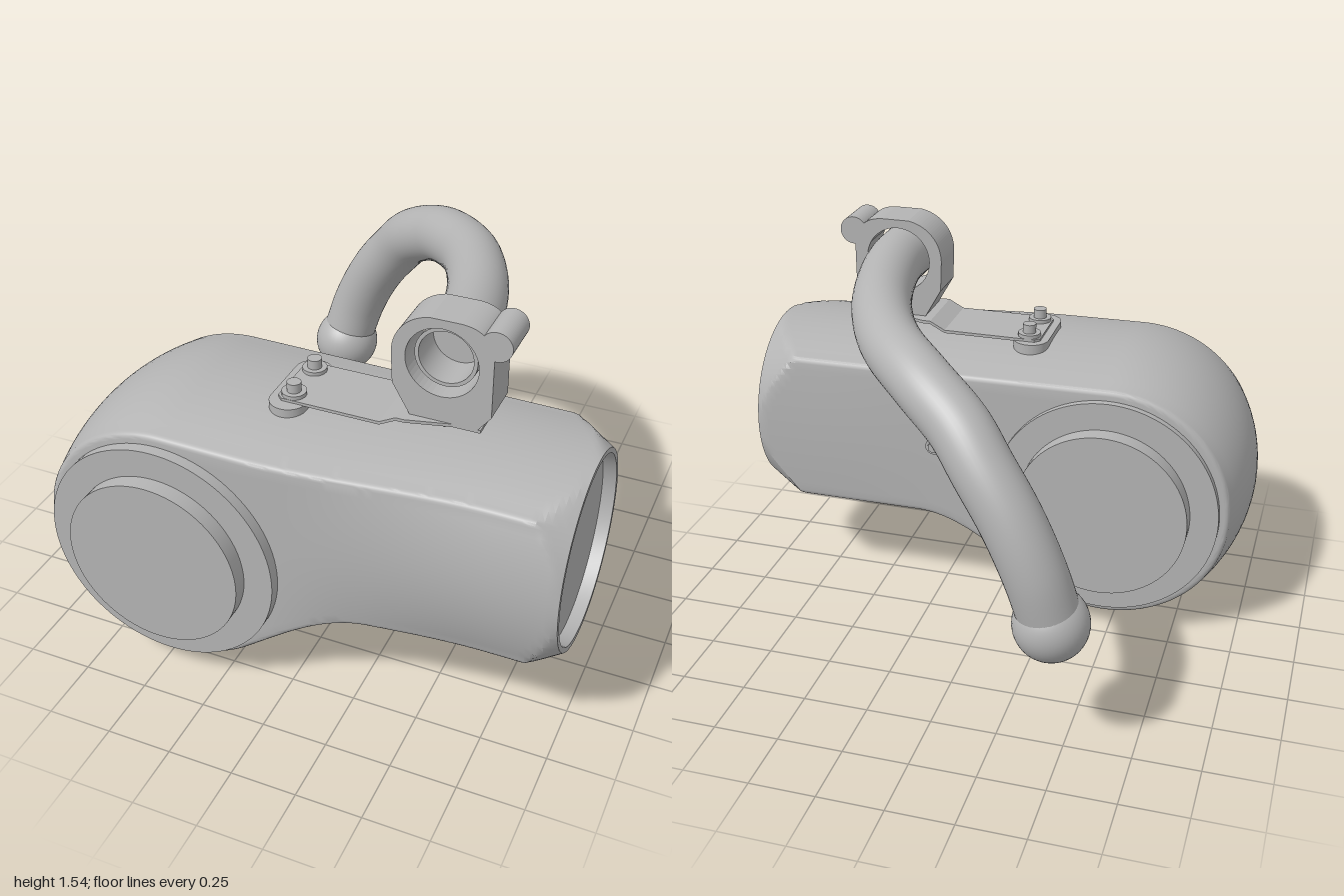
import * as THREE from 'three';
import { toCreasedNormals } from 'three/addons/utils/BufferGeometryUtils.js';

const grey = new THREE.MeshStandardMaterial({ color: 0xb4b4b4 });
grey.name = 'plain grey';

function add(parent, name, geometry, x = 0, y = 0, z = 0) {
  const mesh = new THREE.Mesh(geometry, grey);
  mesh.name = name;
  mesh.position.set(x, y, z);
  parent.add(mesh);
  return mesh;
}
const discZ = (r, depth, n = 64) => new THREE.CylinderGeometry(r, r, depth, n).rotateX(Math.PI / 2);
const lathe = (pts, n = 64) =>
  toCreasedNormals(new THREE.LatheGeometry(pts.map(p => new THREE.Vector2(...p)), n), 0.5);
const extrude = (shape, depth) =>
  new THREE.ExtrudeGeometry(shape, { depth, bevelEnabled: false, curveSegments: 24 });
const polygon = pts => new THREE.Shape(pts.map(p => new THREE.Vector2(...p)));
// Flat plate from (x, z) points, rising from y = 0
const plate = (pts, t) => extrude(polygon(pts.map(([x, z]) => [x, -z])), t).rotateX(-Math.PI / 2);

const CX = -0.46, CY = 0.55, R = 0.545;   // round head
const AY = 0.715, AZ = 0.425, MOUTH = 0.365; // round mouth at +x

function bottomY(x) {
  if (x < -0.13) return CY - Math.sqrt(Math.max(0, R * R - (x - CX) ** 2));
  const w = 0.45, t = Math.min(1, (x + 0.13) / w);
  const y0 = 0.116, y1 = 0.35;
  return y0 + (y1 - y0) * t * t * (3 - 2 * t) + 0.76 * w * t * (1 - t) ** 2;
}
const topY = x => 1.095 - 0.015 * (x - CX) / 1.46;

// Body: crowned loops along x, trimmed by a cone towards the mouth
function bodyGeometry() {
  const stations = [];
  for (let i = 0; i <= 28; i++) {
    const a = (i / 28) * Math.PI / 2, c = -Math.cos(a), s = Math.sin(a);
    stations.push({ t: [CX + R * c, CY + R * s], nt: [c, s], b: [CX + R * c, CY - R * s], nb: [c, -s] });
  }
  for (let i = 1; i <= 64; i++) {
    const x = CX + 1.46 * i / 64;
    const m = (bottomY(x + 0.005) - bottomY(x - 0.005)) / 0.01, l = Math.hypot(1, m);
    const k = Math.min(1, (1 - x) / 0.2); // keep the mouth plane flat
    stations.push({ t: [x, topY(x)], nt: [0, 1], b: [x, bottomY(x)], nb: [k * m / l, -1 / l] });
  }
  const CROWN = 0.055, r = 0.022, N = 16, A = 4, S = 20;
  const pos = [], index = [];
  let count = 0;
  for (const { t, nt, b, nb } of stations) {
    const k = THREE.MathUtils.smoothstep(t[0], -0.15, 0.75);
    const front = 0.82 - 0.08 * k, back = 0.065;
    const mid = (front + back) / 2, hw = (front - back) / 2;
    const loop = [];
    const at = (p, n, d, z) => [p[0] - n[0] * d, p[1] - n[1] * d, z];
    const cap = (p, n, dir) => {
      for (let j = -A; j <= N + A; j++) {
        const q = THREE.MathUtils.clamp(-1 + 2 * j / N, -1, 1);
        const a = (j < 0 ? -j / A : j > N ? (j - N) / A : 0) * Math.PI / 2;
        const off = q * (hw - r) + Math.sign(q) * r * Math.sin(a);
        loop.push(at(p, n, CROWN * q * q + r * (1 - Math.cos(a)), mid + dir * off));
      }
    };
    const side = (bow) => (p, n, p2, n2, z) => {
      const u = at(p, n, CROWN + r, z), v = at(p2, n2, CROWN + r, z);
      for (let j = 1; j < S; j++) {
        const f = j / S;
        loop.push([u[0] + (v[0] - u[0]) * f, u[1] + (v[1] - u[1]) * f, z + bow * 4 * f * (1 - f)]);
      }
    };
    cap(t, nt, 1);
    side(0.052 * k)(t, nt, b, nb, front);
    cap(b, nb, -1);
    side(-0.01 * k)(b, nb, t, nt, back);
    count = loop.length;
    for (const p of loop) {
      if (p[0] > 0.6) {
        const max = MOUTH + (1 - p[0]) * 0.6, d = Math.hypot(p[1] - AY, p[2] - AZ);
        const f = Math.min(1, max / d);
        p[1] = AY + (p[1] - AY) * f;
        p[2] = AZ + (p[2] - AZ) * f;
      }
      pos.push(...p);
    }
  }
  for (let i = 0; i < stations.length - 1; i++) {
    for (let j = 0; j < count; j++) {
      const n = (j + 1) % count;
      const a = i * count + j, d = i * count + n, b2 = a + count, c = d + count;
      index.push(a, d, c, a, c, b2);
    }
  }
  const g = new THREE.BufferGeometry();
  g.setAttribute('position', new THREE.Float32BufferAttribute(pos, 3));
  g.setIndex(index);
  return toCreasedNormals(g, 0.5);
}

// Clamp block outline with a round bore and a hinge lug
function clampShape() {
  const s = new THREE.Shape();
  s.moveTo(0.355, 1.157);
  s.lineTo(0.6, 1.157);
  s.lineTo(0.645, 1.215);
  s.lineTo(0.645, 1.435);
  s.absarc(0.65, 1.49, 0.055, -Math.PI / 2, Math.PI * 0.8, false);
  s.quadraticCurveTo(0.58, 1.545, 0.53, 1.548);
  s.lineTo(0.42, 1.548);
  s.bezierCurveTo(0.34, 1.535, 0.285, 1.47, 0.285, 1.39);
  s.lineTo(0.29, 1.27);
  s.closePath();
  const hole = new THREE.Path();
  hole.absarc(0.465, 1.385, 0.13, 0, Math.PI * 2, true);
  s.holes.push(hole);
  return s;
}

export function createModel() {
  const model = new THREE.Group();
  model.name = 'housing with handle';

  add(model, 'body', bodyGeometry());
  add(model, 'mouth', lathe([[MOUTH, 1], [0.345, 1], [0.345, 0.95], [0, 0.95]], 96)
    .rotateZ(-Math.PI / 2), 0, AY, AZ);

  // Flanges and hubs on both sides of the head
  add(model, 'frontFlange', discZ(0.45, 0.07, 96), CX, CY, 0.828);
  add(model, 'frontHub', discZ(0.34, 0.1, 96), CX, CY, 0.875);
  add(model, 'backFlange', discZ(0.45, 0.06, 96), CX, CY, 0.066);
  add(model, 'backHub', discZ(0.34, 0.1, 96), CX, CY, 0.015);
  add(model, 'backFlangeEar', discZ(0.05, 0.04, 24), -0.01, 0.73, 0.06);
  for (const x of [0, 0.23]) {
    add(model, 'backScrew', discZ(0.034, 0.06, 24), x, 0.73, 0.055);
    add(model, 'backScrewHead', discZ(0.022, 0.02, 6), x, 0.73, 0.022);
  }

  // Mounting bracket on top
  const bracket = new THREE.Group();
  bracket.name = 'bracket';
  model.add(bracket);
  const foot = new THREE.Shape();
  foot.absarc(-0.09, -0.315, 0.07, 0, Math.PI, false);
  foot.absarc(-0.09, -0.52, 0.07, Math.PI, Math.PI * 2, false);
  add(bracket, 'foot', extrude(foot, 0.055).rotateX(-Math.PI / 2), 0, 1.06, 0);
  add(bracket, 'lowerPlate', plate([[-0.11, 0.54], [0.26, 0.54], [0.26, 0.28], [-0.11, 0.28],
    [-0.13, 0.3], [-0.13, 0.52]], 0.012), 0, 1.113, 0);
  add(bracket, 'plateStep', extrude(polygon([[0.26, 1.113], [0.32, 1.145], [0.32, 1.157], [0.26, 1.125]]), 0.26),
    0, 0, 0.28);
  add(bracket, 'upperPlate', plate([[0.32, 0.54], [0.35, 0.54], [0.51, 0.5], [0.61, 0.5], [0.61, 0.33],
    [0.51, 0.33], [0.35, 0.28], [0.32, 0.28]], 0.012), 0, 1.145, 0);
  for (const z of [0.325, 0.495]) {
    add(bracket, 'washer', new THREE.CylinderGeometry(0.045, 0.045, 0.015, 24), -0.08, 1.132, z);
    add(bracket, 'bolt', new THREE.CylinderGeometry(0.026, 0.026, 0.04, 24), -0.08, 1.155, z);
  }
  add(bracket, 'nut', new THREE.CylinderGeometry(0.043, 0.043, 0.04, 6), 0.465, 1.127, 0.415);
  add(model, 'clamp', extrude(clampShape(), 0.17), 0, 0, 0.33);

  // Curved handle with open front end and ball tip
  const path = new THREE.CatmullRomCurve3([
    [0.465, 1.385, 0.46], [0.465, 1.383, 0.3], [0.435, 1.37, 0.1], [0.36, 1.355, -0.15],
    [0.24, 1.33, -0.38], [0.06, 1.28, -0.57], [-0.1, 1.19, -0.68], [-0.2, 1.08, -0.745],
    [-0.31, 0.93, -0.79], [-0.4, 0.75, -0.81], [-0.46, 0.55, -0.795],
  ].map(p => new THREE.Vector3(...p)));
  add(model, 'handle', new THREE.TubeGeometry(path, 96, 0.112, 40));
  add(model, 'handleMouth', lathe([[0.112, 0], [0.098, 0], [0.098, -0.14], [0, -0.14]], 40)
    .rotateX(Math.PI / 2), 0.465, 1.385, 0.46);
  add(model, 'handleBall', new THREE.SphereGeometry(0.136, 40, 28), -0.455, 0.55, -0.79);

  return model;
}
